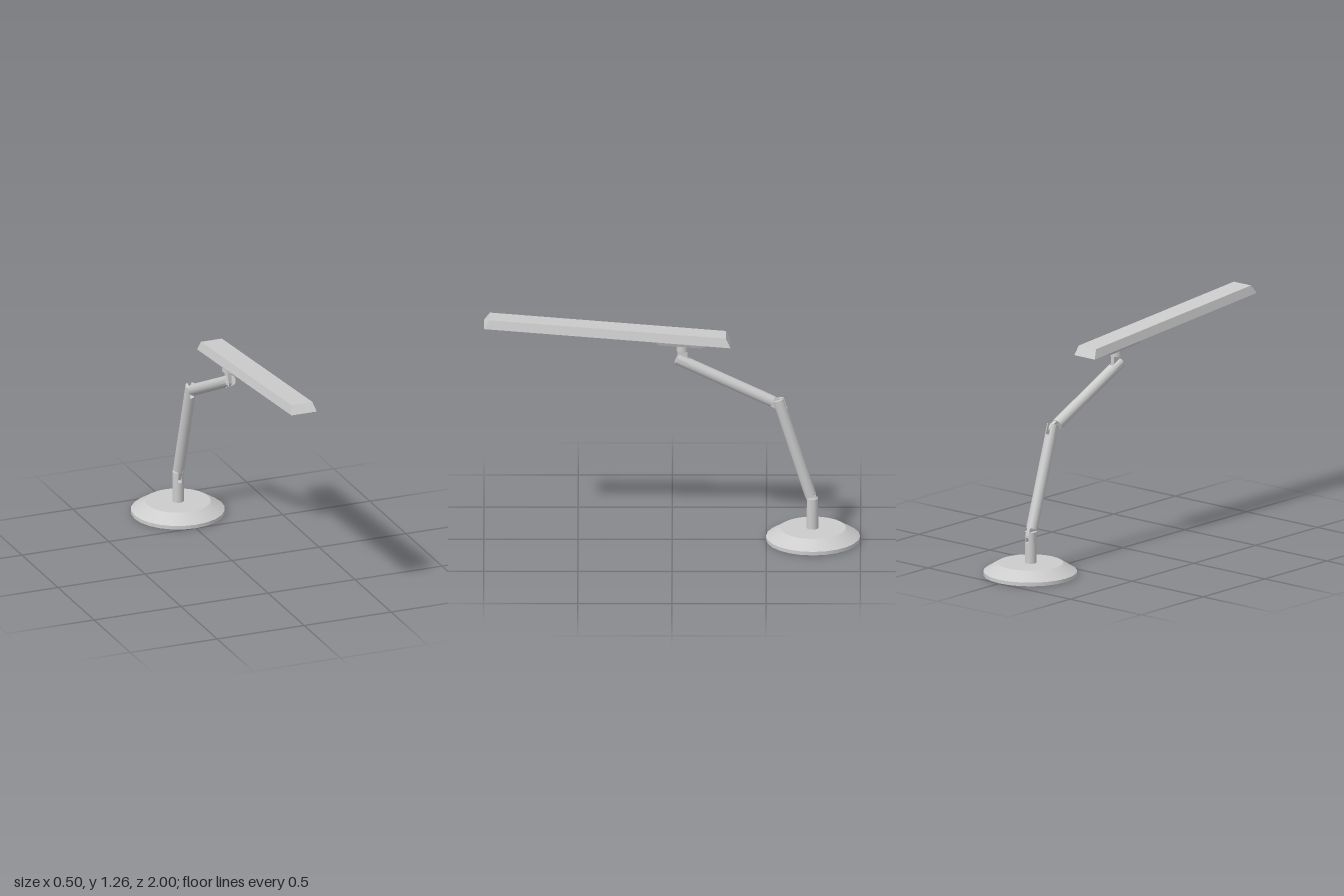
import * as THREE from 'three';
import { toCreasedNormals } from 'three/addons/utils/BufferGeometryUtils.js';

const material = new THREE.MeshStandardMaterial({ color: 0xcccccc });
const ROD = 0.031;   // rod radius
const GAP = 0.011;   // half width of the fork slots

function add(parent, name, geometry, x = 0, y = 0, z = 0) {
  const mesh = new THREE.Mesh(geometry, material);
  mesh.name = name;
  mesh.position.set(x, y, z);
  parent.add(mesh);
  return mesh;
}

// Box whose upper (or lower) face is drawn in on all four sides
function taperedBox(w, h, d, insetX, insetZ, narrowTop) {
  const geo = new THREE.BoxGeometry(w, h, d);
  const p = geo.attributes.position;
  for (let i = 0; i < p.count; i++) {
    if ((p.getY(i) > 0) !== narrowTop) continue;
    p.setX(i, p.getX(i) - Math.sign(p.getX(i)) * insetX);
    p.setZ(i, p.getZ(i) - Math.sign(p.getZ(i)) * insetZ);
  }
  geo.computeVertexNormals();
  return geo;
}

// One cheek of a fork: a rod segment beside the slot, standing along y
function prongGeometry(length) {
  const a = Math.acos(GAP / ROD);
  const shape = new THREE.Shape().absarc(0, 0, ROD, -a, a, false);
  const geo = new THREE.ExtrudeGeometry(shape, { depth: length, bevelEnabled: false, curveSegments: 12 });
  geo.rotateX(-Math.PI / 2);
  return toCreasedNormals(geo, 0.6);
}

// Flat tongue with a rounded tip pointing down
function tongueGeometry(length) {
  const r = 0.027;
  const shape = new THREE.Shape();
  shape.moveTo(r, 0.005);
  shape.lineTo(-r, 0.005);
  shape.lineTo(-r, r - length);
  shape.absarc(0, r - length, r, Math.PI, Math.PI * 2, false);
  const geo = new THREE.ExtrudeGeometry(shape, { depth: 0.02, bevelEnabled: false, curveSegments: 8 });
  geo.translate(0, 0, -0.01);
  geo.rotateY(Math.PI / 2);
  return toCreasedNormals(geo, 0.6);
}

// Rod between two [y, z] points, with an optional tongue at its start and fork at its end
function addRod(parent, name, from, to, tongue, slot) {
  const dy = to[0] - from[0], dz = to[1] - from[1];
  const length = Math.hypot(dy, dz), solid = length - slot;
  const rod = new THREE.Group();
  rod.name = name;
  rod.position.set(0, from[0], from[1]);
  rod.rotation.x = Math.atan2(dz, dy);
  add(rod, name + 'Rod', new THREE.CylinderGeometry(ROD, ROD, solid, 24), 0, solid / 2, 0);
  if (tongue) add(rod, name + 'Tongue', tongueGeometry(tongue));
  if (slot) {
    for (const turn of [0, Math.PI]) {
      add(rod, name + 'Prong', prongGeometry(slot), 0, solid, 0).rotation.y = turn;
    }
  }
  parent.add(rod);
}

export function createModel() {
  const model = new THREE.Group();
  model.name = 'deskLamp';

  // Round foot: low rim and bevelled top
  const baseZ = -0.748;
  add(model, 'baseRim', new THREE.CylinderGeometry(0.25, 0.25, 0.02, 24), 0, 0.01, baseZ);
  add(model, 'baseTop', new THREE.CylinderGeometry(0.175, 0.25, 0.046, 24), 0, 0.043, baseZ);

  // Jointed arm
  addRod(model, 'post', [0.06, -0.745], [0.235, -0.745], 0, 0.056);
  addRod(model, 'lowerArm', [0.25, -0.735], [0.79, -0.564], 0.066, 0.06);
  addRod(model, 'upperArm', [0.78, -0.532], [1.022, -0.024], 0.06, 0.065);
  addRod(model, 'headStem', [1.065, -0.055], [1.115, -0.055], 0.085, 0);

  // Tilted lamp head with its mounting plate
  const head = new THREE.Group();
  head.name = 'head';
  head.position.set(0, 1.159, 0.345);
  head.rotation.x = -0.0823;
  add(head, 'shade', taperedBox(0.145, 0.048, 1.314, 0.012, 0.028, true), 0, 0.024, 0);
  add(head, 'mountPlate', taperedBox(0.115, 0.022, 0.275, 0.008, 0.022, false), 0, -0.011, -0.39);
  model.add(head);

  return model;
}
